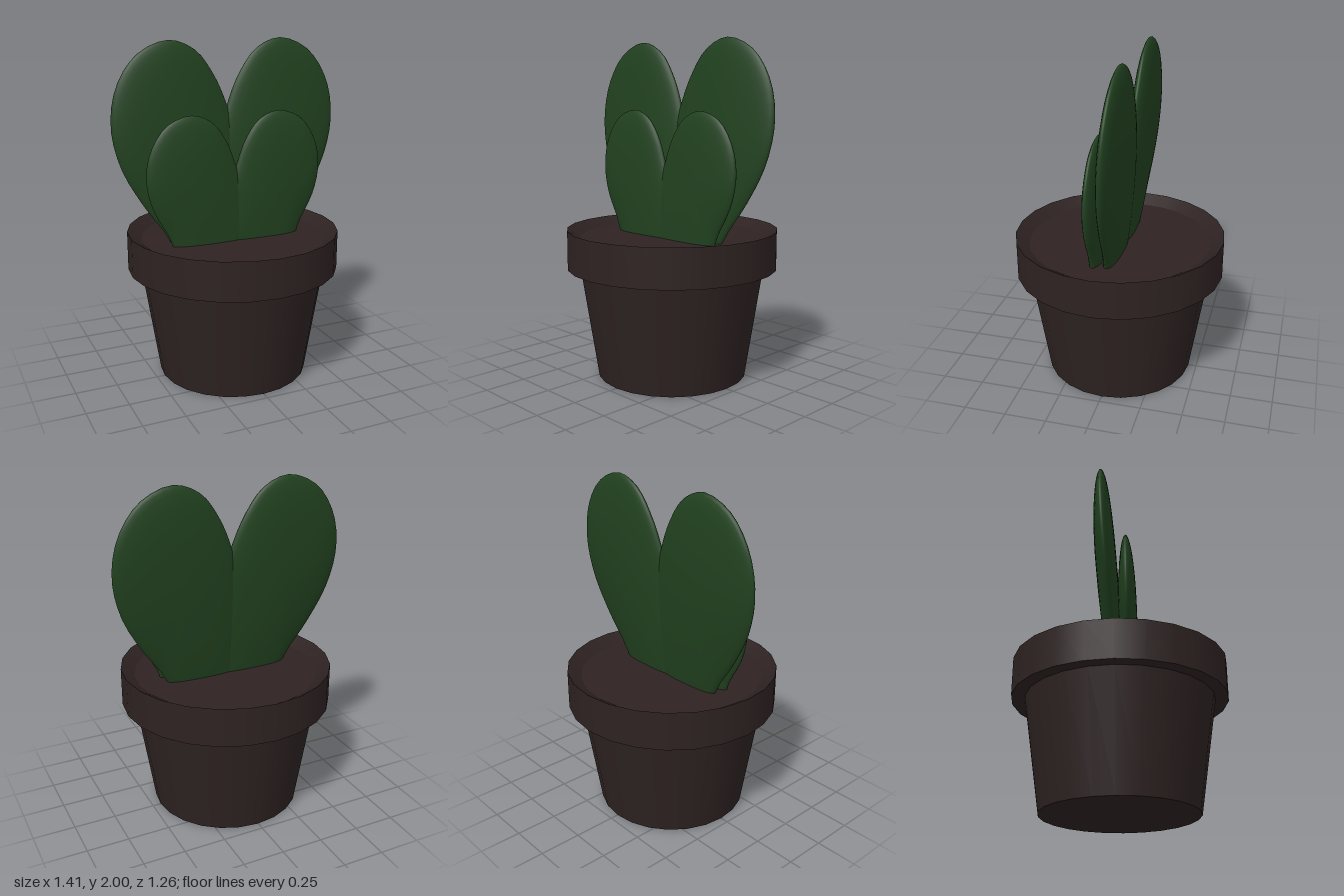
import * as THREE from 'three';
import { mergeVertices } from 'three/addons/utils/BufferGeometryUtils.js';

const brown = new THREE.MeshStandardMaterial({ color: 0x2e2222 });
brown.name = 'dark brown clay';
const green = new THREE.MeshStandardMaterial({ color: 0x21411f });
green.name = 'deep green';

// A puffy lobe: a sphere flattened and stretched to follow a closed outline
function lobeGeometry(outline, centre, halfThickness, depthAt) {
  const curve = new THREE.CatmullRomCurve3(
    outline.map(([x, y]) => new THREE.Vector3(x, y, 0)), true);
  const geo = new THREE.SphereGeometry(1, 48, 24);
  geo.rotateX(Math.PI / 2);
  const pos = geo.attributes.position;
  for (let i = 0; i < pos.count; i++) {
    const x = pos.getX(i), y = pos.getY(i), z = pos.getZ(i);
    const s = Math.min(1, Math.hypot(x, y));
    const u = (2 - Math.atan2(y, x) / (Math.PI * 2)) % 1;
    const edge = curve.getPoint(u);
    const px = centre[0] + (edge.x - centre[0]) * s;
    const py = centre[1] + (edge.y - centre[1]) * s;
    pos.setXYZ(i, px, py, depthAt(py) + z * halfThickness);
  }
  geo.deleteAttribute('uv');
  geo.deleteAttribute('normal');
  const merged = mergeVertices(geo, 1e-4);
  merged.computeVertexNormals();
  return merged;
}

// Heart leaf: two mirrored lobes that overlap along the middle crease
function heartLeaf(name, geometry) {
  const leaf = new THREE.Group();
  leaf.name = name;
  for (const side of [1, -1]) {
    const lobe = new THREE.Mesh(geometry, green);
    lobe.name = side > 0 ? 'leftLobe' : 'rightLobe';
    lobe.scale.x = side;
    leaf.add(lobe);
  }
  return leaf;
}

// A round part turned from a list of [radius, height] points
function turned(name, points) {
  const profile = points.map(([r, y]) => new THREE.Vector2(r, y));
  const mesh = new THREE.Mesh(new THREE.LatheGeometry(profile, 24), brown);
  mesh.name = name;
  return mesh;
}

export function createModel() {
  const model = new THREE.Group();
  model.name = 'pottedHeartPlant';

  // Tapered pot, wide rim with an inward-sloping lip, and the soil inside it
  model.add(
    turned('potBase', [[0, 0], [0.45, 0]]),
    turned('potBody', [[0.45, 0], [0.553, 0.66]]),
    turned('rimUnderside', [[0.553, 0.66], [0.63, 0.66]]),
    turned('rim', [[0.63, 0.66], [0.63, 0.89]]),
    turned('rimLip', [[0.63, 0.89], [0.55, 0.84]]),
    turned('soil', [[0.55, 0.84], [0, 0.84]]),
  );

  // Tall back leaf, leaning backwards
  const backOutline = [
    [0.35, 2], [0.54, 1.925], [0.665, 1.75], [0.705, 1.53], [0.66, 1.3],
    [0.545, 1.08], [0.42, 0.9], [0.27, 0.66], [0, 0.6], [-0.1, 0.9],
    [-0.09, 1.2], [-0.06, 1.42], [0, 1.62], [0.075, 1.79], [0.19, 1.94],
  ];
  const backDepth = (y) => -0.09 + 0.068 * Math.max(0, (2 - y) / 1.11) ** 1.6;
  model.add(heartLeaf('backLeaf',
    lobeGeometry(backOutline, [0.31, 1.42], 0.062, backDepth)));

  // Smaller front leaf
  const frontOutline = [
    [0.27, 1.59], [0.42, 1.54], [0.52, 1.4], [0.55, 1.24], [0.515, 1.07],
    [0.425, 0.9], [0.385, 0.8], [0.28, 0.6], [0, 0.56], [-0.1, 0.8],
    [-0.08, 1], [-0.05, 1.14], [0, 1.28], [0.06, 1.43], [0.15, 1.545],
  ];
  const frontDepth = (y) => 0.05 + 0.015 * (1.59 - y);
  model.add(heartLeaf('frontLeaf',
    lobeGeometry(frontOutline, [0.24, 1.13], 0.053, frontDepth)));

  return model;
}
